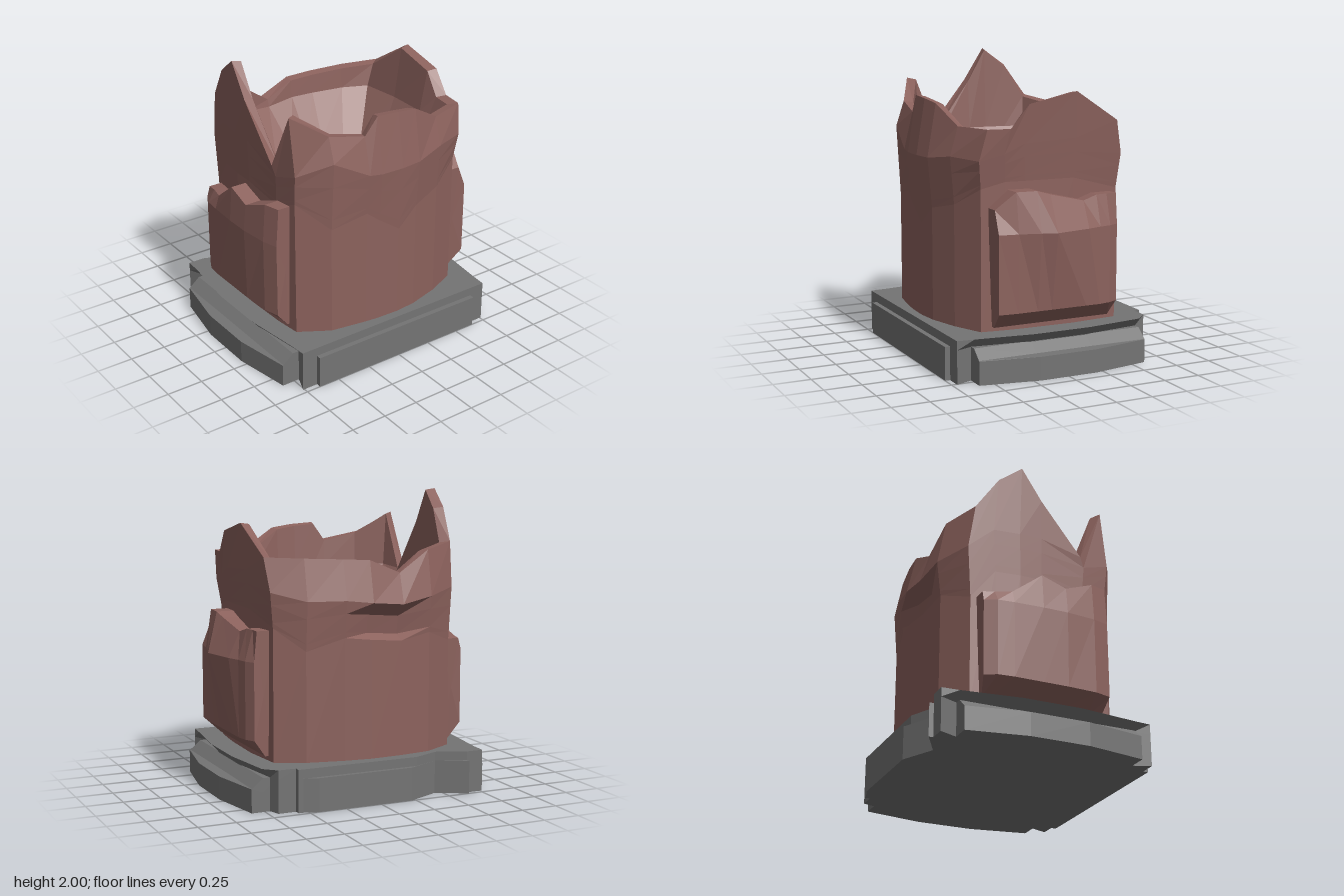
import * as THREE from 'three';

const clay = new THREE.MeshStandardMaterial({ color: 0x8c625d, flatShading: true });
clay.name = 'red brown stone';
const grey = new THREE.MeshStandardMaterial({ color: 0x747474, flatShading: true });
grey.name = 'grey stone';

// Skin a list of closed rings (counter-clockwise about the loft direction), capped at both ends
function loft(name, rings, material, flip = false) {
  const pos = [];
  const tri = (a, b, c) => pos.push(...a, ...(flip ? [...c, ...b] : [...b, ...c]));
  const n = rings[0].length;
  const centre = r => [0, 1, 2].map(k => r.reduce((s, p) => s + p[k], 0) / n);
  const first = rings[0], last = rings[rings.length - 1];
  const c0 = centre(first), c1 = centre(last);
  for (let i = 0; i < n; i++) {
    const j = (i + 1) % n;
    for (let k = 0; k + 1 < rings.length; k++) {
      const a = rings[k], b = rings[k + 1];
      tri(a[i], a[j], b[j]);
      tri(a[i], b[j], b[i]);
    }
    tri(c0, first[j], first[i]);
    tri(c1, last[i], last[j]);
  }
  const g = new THREE.BufferGeometry();
  g.setAttribute('position', new THREE.Float32BufferAttribute(pos, 3));
  g.computeVertexNormals();
  const mesh = new THREE.Mesh(g, material);
  mesh.name = name;
  return mesh;
}

// Broken hollow shell: x, z, rim height, crack height, bulge height for each column
const columns = [
  [-0.65, 0.48, 1.81, 1.22, 1.42], [-0.45, 0.60, 1.67, 1.03, 1.50], [-0.20, 0.64, 1.62, 1.09, 1.37],
  [-0.11, 0.65, 1.74, 1.02, 1.36], [0.05, 0.655, 1.73, 0.91, 1.36], [0.20, 0.64, 1.71, 1.03, 1.36],
  [0.42, 0.58, 1.58, 1.08, 1.39], [0.63, 0.49, 1.58, 1.2, 1.38],
  [0.65, 0.33, 1.58, 1.24, 1.42], [0.66, 0.20, 1.73, 1.24, 1.48], [0.67, -0.15, 1.80, 1.24, 1.5],
  [0.64, -0.48, 1.60, 1.15, 1.38],
  [0.45, -0.57, 1.59, 1.0, 1.32], [0.20, -0.62, 1.58, 1.08, 1.32], [0.02, -0.64, 1.57, 1.06, 1.3],
  [-0.20, -0.63, 1.48, 1.04, 1.28], [-0.42, -0.60, 1.62, 1.08, 1.32], [-0.63, -0.48, 1.66, 1.0, 1.36],
  [-0.66, -0.32, 1.88, 1.2, 1.5], [-0.68, -0.15, 2.0, 1.2, 1.5], [-0.68, 0.0, 1.78, 1.2, 1.5],
  [-0.67, 0.30, 1.43, 1.15, 1.36],
];
const slot = new Set([14, 15]); // columns of the gouge in the back

function shell() {
  const ring = (f, dz = 0) => columns.map((c, i) => {
    const [sx, sz, y] = f(c, i);
    return [c[0] * sx, y, c[1] * sz + dz];
  });
  const lean = c => (c[0] > 0.6 ? 1.08 : c[0] < -0.6 ? 1.03 : 1); // side walls lean out
  const mid = c => (1 + lean(c)) / 2;
  const mix = THREE.MathUtils.lerp;
  // A ring part way from crack to bulge, pushed in at the gouge
  const between = (t, depth) => ring((c, i) => [
    mix(1, mid(c), t), slot.has(i) ? depth : mix(1, 1.045, t), mix(c[3], c[4], t),
  ]);
  return loft('brokenShell', [
    ring(() => [1, 1, 0.27]),
    ring(c => [1, 1, c[3]]),
    between(0.15, 0.88),
    between(0.65, 0.91),
    ring(c => [mid(c), 1.045, c[4]]),
    ring(c => [lean(c), 0.95, c[2]]),
    ring(c => [lean(c) * 0.91, 0.86, c[2] - 0.01]),
    // hollow, falling in steps to a low point near the front
    ring(c => [0.9, 0.84, Math.min(1.44, c[2] - 0.06)]),
    ring(() => [0.64, 0.58, 1.16], 0.03),
    ring(() => [0.3, 0.3, 0.97], 0.08),
    ring(() => [0.1, 0.1, 0.88], 0.16),
  ], clay);
}

// Side slab: z, bulge x, top x, top height for each station
function slab(name, side, stations) {
  const rings = stations.map(([z, bulge, topX, top], i) => {
    const foot = i === 0 || i === stations.length - 1 ? z * 0.95 : z;
    return [
      [0.6, 0.31, foot], [0.67, 0.31, foot], [Math.min(0.8, bulge), 0.42, z],
      [bulge, 0.93, z], [topX, top, z], [0.6, top, z],
    ].map(p => [p[0] * side, p[1], p[2]]);
  });
  return loft(name, rings, clay, side < 0);
}

// Plinth core: outline x, z; undercut below its top lip at the sides
function plinthCore() {
  const outline = [
    [-0.76, 0.715], [0.76, 0.715], [0.77, 0.6], [0.82, 0.2], [0.82, -0.2], [0.77, -0.6],
    [0.69, -0.68], [0.57, -0.68], [0.57, -0.72], [-0.27, -0.72], [-0.45, -0.64],
    [-0.65, -0.72], [-0.765, -0.72], [-0.77, -0.6], [-0.82, -0.2], [-0.82, 0.2], [-0.77, 0.6],
  ];
  const ring = (y, cut) => outline.map(([x, z]) =>
    [Math.abs(x) > 0.766 ? x - Math.sign(x) * cut : x, y, z]);
  return loft('plinthCore', [ring(0, 0.055), ring(0.22, 0.055), ring(0.28, 0)], grey);
}

// Bowed plinth ledge with a sloping top
function sideLedge(name, side) {
  const rings = [[-0.6, 0.84], [-0.2, 0.91], [0.2, 0.91], [0.6, 0.84]].map(([z, x]) => [
    [0.65, 0, z], [x, 0, z], [x, 0.155, z], [0.835, 0.158, z], [0.76, 0.22, z], [0.65, 0.22, z],
  ].map(p => [p[0] * side, p[1], p[2]]));
  return loft(name, rings, grey, side < 0);
}

// Flat plinth panel from an x, z outline
function panel(name, outline) {
  return loft(name, [0, 0.22].map(y => outline.map(([x, z]) => [x, y, z])), grey);
}

export function createModel() {
  const model = new THREE.Group();
  model.name = 'brokenPillar';
  model.add(
    shell(),
    slab('leftSlab', 1, [
      [-0.43, 0.75, 0.73, 1.13], [-0.36, 0.785, 0.73, 1.13], [-0.28, 0.80, 0.74, 1.13],
      [-0.18, 0.83, 0.75, 1.10], [0.07, 0.88, 0.77, 1.16], [0.17, 0.85, 0.78, 1.19],
      [0.31, 0.81, 0.77, 1.19], [0.44, 0.79, 0.73, 1.08],
    ]),
    slab('rightSlab', -1, [
      [-0.44, 0.75, 0.73, 1.0], [-0.36, 0.79, 0.74, 1.01], [-0.25, 0.80, 0.77, 1.02],
      [-0.05, 0.81, 0.79, 1.17], [0.12, 0.81, 0.79, 1.11], [0.32, 0.79, 0.77, 1.19],
      [0.43, 0.76, 0.74, 1.19],
    ]),
    plinthCore(),
    sideLedge('leftLedge', 1),
    sideLedge('rightLedge', -1),
    panel('frontPanel', [[-0.65, 0.6], [-0.65, 0.75], [0.65, 0.75], [0.65, 0.6]]),
    panel('backPanel', [[0.44, -0.6], [0.57, -0.71], [0.44, -0.75], [-0.22, -0.75], [-0.45, -0.64], [-0.4, -0.6]]),
    panel('backChip', [[-0.45, -0.64], [-0.65, -0.75], [-0.65, -0.62], [-0.5, -0.6]]),
  );
  return model;
}
